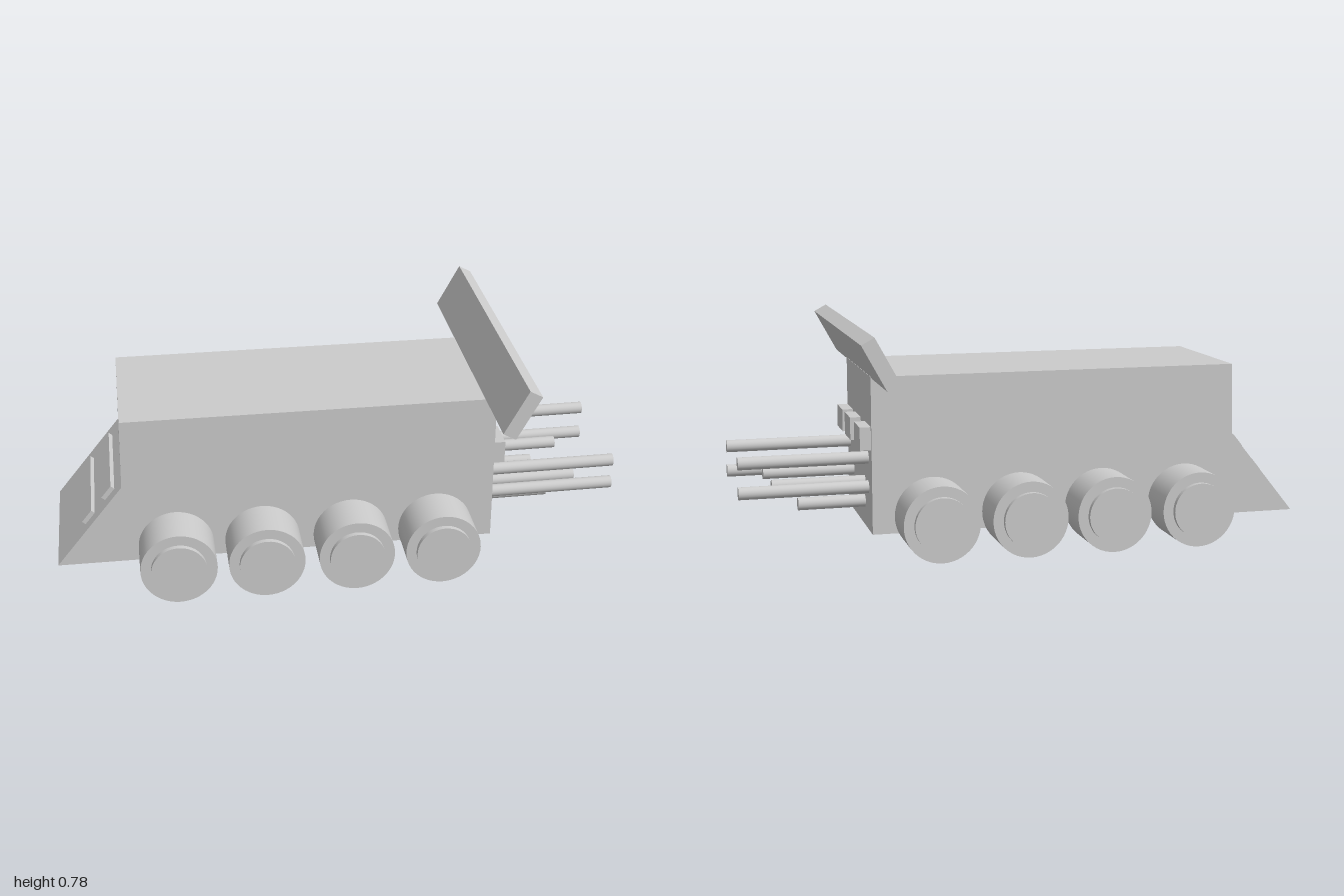
import * as THREE from 'three';

export function createModel() {
  const model = new THREE.Group();
  const material = new THREE.MeshStandardMaterial({ color: 0xcccccc });

  function add(name, geometry, x, y, z, parent = model) {
    const mesh = new THREE.Mesh(geometry, material);
    mesh.name = name;
    mesh.position.set(x, y, z);
    parent.add(mesh);
    return mesh;
  }

  // Hull: side profile with a sloped nose, extruded across the width
  const profile = [[-1, 0.07], [0.545, 0.07], [0.545, 0.615], [-0.757, 0.615], [-0.763, 0.365]];
  const hullShape = new THREE.Shape(profile.map(([x, y]) => new THREE.Vector2(x, y)));
  const hull = new THREE.ExtrudeGeometry(hullShape, { depth: 0.522, bevelEnabled: false });
  add('hull', hull, 0, 0, -0.261);

  // Thin vent bars lying on the nose slope
  const slope = Math.atan2(0.295, 0.237);
  for (const [x, y] of [[-0.882, 0.224], [-0.809, 0.316]]) {
    add('noseVent', new THREE.BoxGeometry(0.055, 0.022, 0.4), x, y, 0.01).rotation.z = slope;
  }

  // Wheels with a smaller raised hub on the outer side
  const wheelRows = [
    { side: 1, inner: 0.28, xs: [-0.585, -0.282, 0.031, 0.335] },
    { side: -1, inner: 0.272, xs: [-0.576, -0.268, 0.031, 0.338] },
  ];
  const tyre = new THREE.CylinderGeometry(0.132, 0.132, 0.162, 48).rotateX(Math.PI / 2);
  const hub = new THREE.CylinderGeometry(0.096, 0.096, 0.1, 48).rotateX(Math.PI / 2);
  for (const { side, inner, xs } of wheelRows) {
    for (const x of xs) {
      const wheel = new THREE.Group();
      wheel.name = 'wheel';
      wheel.position.set(x, 0.132, side * (inner + 0.081));
      add('tyre', tyre, 0, 0, 0, wheel);
      add('hub', hub, 0, 0, side * 0.049, wheel);
      model.add(wheel);
    }
  }

  // Tilted spoiler over the rear edge
  add('spoiler', new THREE.BoxGeometry(0.05, 0.172, 1.1), 0.559, 0.695, 0).rotation.z = -0.5;

  // Tail lamps
  for (const z of [0.198, 0.021, -0.188]) {
    add('tailLamp', new THREE.BoxGeometry(0.06, 0.08, 0.124), 0.553, 0.402, z);
  }

  // Exhaust pipes: [height, z, end x]
  const pipes = [
    [0.313, 0.213, 0.995], [0.223, 0.213, 0.995], [0.223, 0.138, 0.875], [0.157, 0.118, 0.78],
    [0.325, -0.183, 0.99], [0.222, -0.183, 0.99], [0.226, -0.108, 0.87], [0.157, -0.104, 0.78],
  ];
  for (const [y, z, end] of pipes) {
    const length = end - 0.52;
    const pipe = new THREE.CylinderGeometry(0.022, 0.022, length, 20).rotateZ(Math.PI / 2);
    add('exhaustPipe', pipe, 0.52 + length / 2, y, z).rotation.y = 0.012;
  }

  return model;
}
